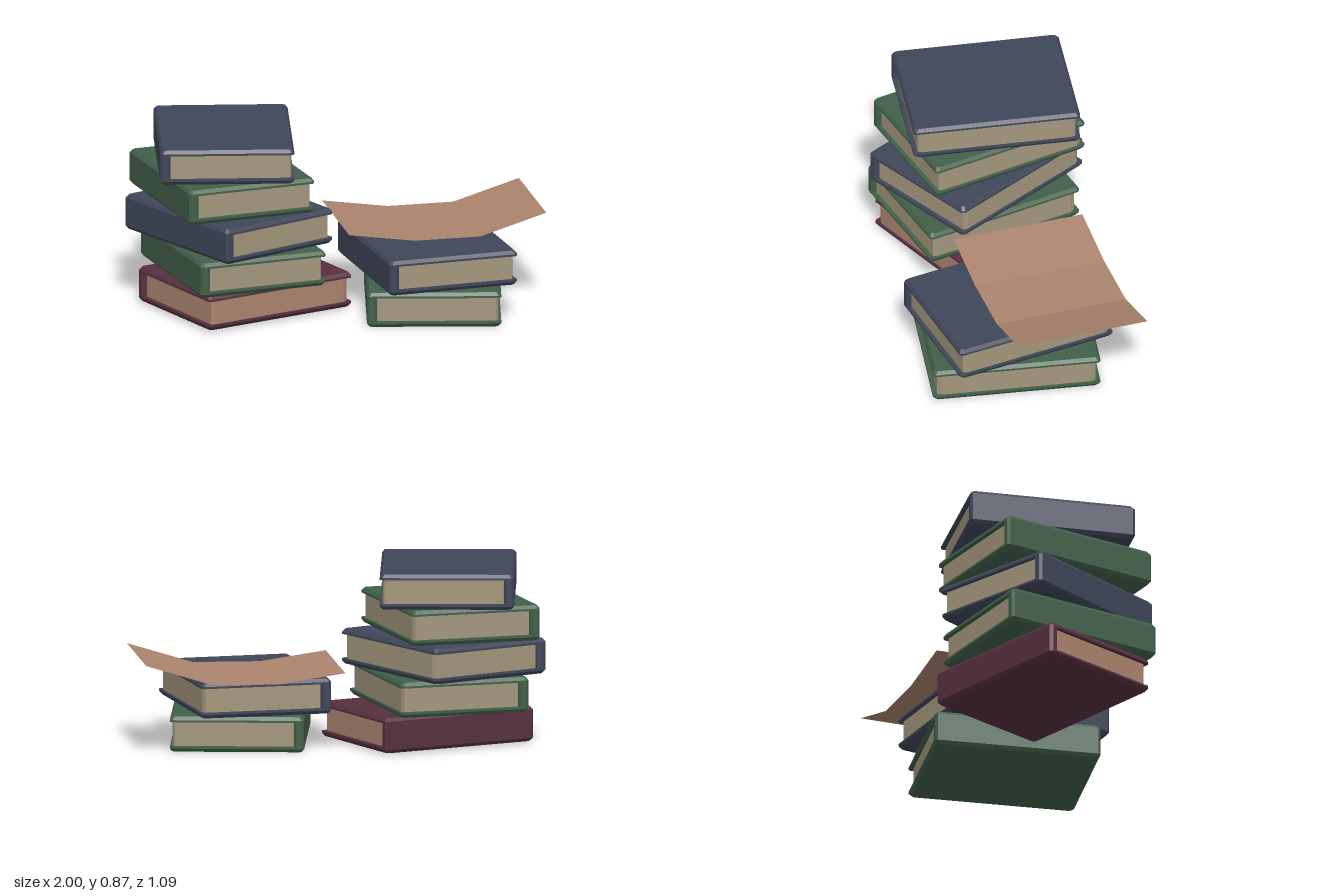
import * as THREE from 'three';

const mat = (name, color) => {
  const m = new THREE.MeshStandardMaterial({ color });
  m.name = name;
  return m;
};

// Block with chamfered vertical corners; rings = [y, inset] from bottom to top
function block(x0, x1, halfDepth, cx, cz, rings) {
  const outline = ([y, s]) => {
    const a = x0 + s, b = x1 - s, h = halfDepth - s;
    return [[b, -h + cz], [b, h - cz], [b - cx, h], [a + cx, h],
      [a, h - cz], [a, -h + cz], [a + cx, -h], [b - cx, -h]].map(([x, z]) => [x, y, z]);
  };
  const loops = rings.map(outline), pos = [];
  const tri = (...pts) => pts.forEach((p) => pos.push(...p));
  const last = loops.length - 1, mid = (x0 + x1) / 2;
  for (let i = 0; i < 8; i++) {
    const j = (i + 1) % 8;
    for (let k = 0; k < last; k++) {
      const lo = loops[k], hi = loops[k + 1];
      tri(lo[i], hi[i], lo[j]);
      tri(lo[j], hi[i], hi[j]);
    }
    tri([mid, rings[0][0], 0], loops[0][i], loops[0][j]);
    tri([mid, rings[last][0], 0], loops[last][j], loops[last][i]);
  }
  const g = new THREE.BufferGeometry();
  g.setAttribute('position', new THREE.Float32BufferAttribute(pos, 3));
  g.computeVertexNormals();
  return g;
}

export function createModel() {
  const model = new THREE.Group();
  model.name = 'bookStacks';

  const navy = mat('navyCover', 0x3f4659);
  const green = mat('greenCover', 0x416049);
  const maroon = mat('maroonCover', 0x56303f);
  const cream = mat('creamPages', 0xa3967c);
  const tan = mat('tanPaper', 0xac846e);
  const sheetMat = tan.clone();
  sheetMat.name = 'tanSheet';
  sheetMat.side = THREE.DoubleSide;

  // Shared book parts: spine along -x, open page edge along +x
  const W = 0.32, D = 0.403, H = 0.169, T = 0.026;
  const parts = {
    bottomCover: block(-W, W, D, 0.012, 0.012, [[0, 0.012], [0.016, 0], [T, 0]]),
    topCover: block(-W, W, D, 0.012, 0.012, [[H - T, 0], [H - 0.016, 0], [H, 0.012]]),
    spine: block(-W, -W + 0.048, D, 0.012, 0.012, [[T, 0], [H - T, 0]]),
    pages: block(-W + 0.04, W - 0.012, D - 0.021, 0.01, 0.022, [[T, 0], [H - T, 0]]),
  };

  function addBook(name, x, y, z, degrees, cover, paper) {
    const book = new THREE.Group();
    book.name = name;
    for (const [part, geometry] of Object.entries(parts)) {
      const mesh = new THREE.Mesh(geometry, part === 'pages' ? paper : cover);
      mesh.name = part;
      book.add(mesh);
    }
    book.position.set(x, y, z);
    book.rotation.y = THREE.MathUtils.degToRad(degrees);
    model.add(book);
  }

  // Tall stack
  addBook('tallStackBook1', -0.433, 0.009, 0.031, -60, maroon, tan);
  addBook('tallStackBook2', -0.489, 0.178, 0.05, 18.7, green, cream);
  addBook('tallStackBook3', -0.51, 0.347, 0.035, 35, navy, cream);
  addBook('tallStackBook4', -0.543, 0.53, 0.015, 18.8, green, cream);
  addBook('tallStackBook5', -0.532, 0.699, -0.016, 0, navy, cream);
  // Short stack
  addBook('shortStackBook1', 0.46, 0, 0.05, -1.3, green, cream);
  addBook('shortStackBook2', 0.436, 0.173, 0.041, 15.8, navy, cream);

  // Loose sheet with two folds, lifted at both ends
  const heights = [0.4, 0.354, 0.357, 0.456];
  const sheetGeo = new THREE.PlaneGeometry(0.958, 0.648, 3, 1).rotateX(-Math.PI / 2);
  const p = sheetGeo.attributes.position;
  for (let i = 0; i < p.count; i++) {
    p.setY(i, heights[i % 4] - (p.getZ(i) < 0 ? 0.01 : 0));
  }
  const flat = sheetGeo.toNonIndexed();
  flat.computeVertexNormals();
  const sheet = new THREE.Mesh(flat, sheetMat);
  sheet.name = 'looseSheet';
  sheet.position.set(0.476, 0, -0.156);
  sheet.rotation.y = THREE.MathUtils.degToRad(9.2);
  model.add(sheet);

  return model;
}
